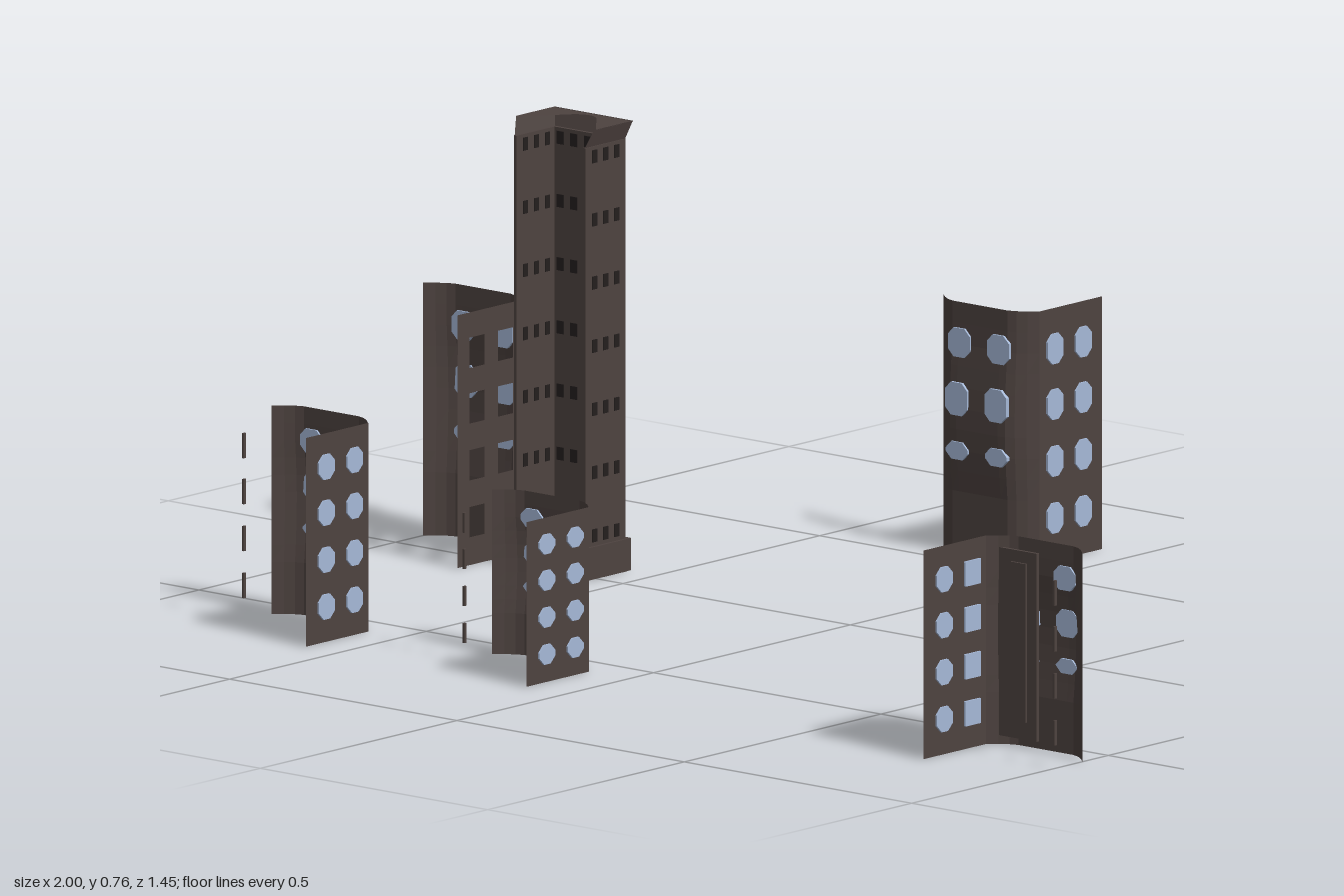
import * as THREE from 'three';

const mat = (name, color) => {
  const m = new THREE.MeshStandardMaterial({ color, side: THREE.DoubleSide, flatShading: true });
  m.name = name;
  return m;
};

export function createModel() {
  const wallMat = mat('dark brown wall', 0x4e4340);
  const paneMat = mat('pale blue glass', 0xa6b9d8);
  const darkMat = mat('black brown opening', 0x241f1e);
  const model = new THREE.Group();

  const add = (parent, name, geo, material, x = 0, y = 0, z = 0) => {
    const mesh = new THREE.Mesh(geo, material);
    mesh.name = name;
    mesh.position.set(x, y, z);
    parent.add(mesh);
    return mesh;
  };
  const box = (parent, name, material, w, h, d, x, y, z) =>
    add(parent, name, new THREE.BoxGeometry(w, h, d), material, x, y, z);

  // Window outline: a rectangle with cut corners
  const outline = (w, h, cut) => {
    const a = w / 2, b = h / 2, c = Math.min(cut, a, b);
    return [[-a + c, -b], [a - c, -b], [a, -b + c], [a, b - c], [a - c, b], [-a + c, b], [-a, b - c], [-a, -b + c]]
      .map(([x, y]) => new THREE.Vector2(x, y));
  };
  const pane = (parent, w, h, cut, x, y, z) => {
    const geo = new THREE.ExtrudeGeometry(new THREE.Shape(outline(w, h, cut)), { depth: 0.007, bevelEnabled: false });
    add(parent, 'windowPane', geo.translate(0, 0, -0.0035), paneMat, x, y, z);
  };

  // Curved wall with bevelled ends, swelling slightly at mid height
  const half = 0.106, depth = 0.188;
  const swell = (t) => 0.008 * Math.max(0, Math.sin((t - 0.25) / 0.6 * Math.PI));
  const setback = (x) => 0.03 * Math.max(0, (Math.abs(x) - 0.06) / (half - 0.06)) ** 1.6;
  const rows = [0.84, 0.62, 0.395, 0.17];

  function fragment({ name, x, z, h, dir = 1, side = 1, open = false, square = false, frames = false }) {
    const g = new THREE.Group();
    g.name = name;
    g.position.set(x, 0, z);
    model.add(g);

    const geo = new THREE.PlaneGeometry(2 * half, h, 14, 12).translate(0, h / 2, 0);
    const p = geo.attributes.position;
    for (let i = 0; i < p.count; i++) {
      const px = p.getX(i), fade = Math.max(0, 1 - Math.abs(px) / half);
      p.setZ(i, dir * (setback(px) - swell(p.getY(i) / h) * Math.min(1, fade * 2)));
    }
    geo.computeVertexNormals();
    add(g, 'curvedWall', geo, wallMat);

    // Three rows of windows on the curved wall
    [[0.84, 0.115], [0.62, 0.13], [0.415, 0.07]].forEach(([t, s]) => {
      for (const wx of [-0.043, 0.043]) pane(g, 0.048, s * h, 0.012, wx, t * h, -dir * swell(t));
    });

    // Straight side wall
    const wing = new THREE.Group();
    wing.name = 'sideWall';
    wing.position.x = side * half;
    wing.rotation.y = -dir * Math.PI / 2;
    g.add(wing);
    const shape = new THREE.Shape([[0.029, 0], [depth, 0], [depth, h], [0.029, h]].map((q) => new THREE.Vector2(...q)));
    for (const t of rows) {
      [0.066, 0.138].forEach((d, col) => {
        const size = 0.12 * h;
        if (open) shape.holes.push(new THREE.Path(outline(0.038, size, 0.0005).map((v) => v.add(new THREE.Vector2(d, t * h)))));
        else pane(wing, 0.04, size, square && col === 0 ? 0.001 : 0.012, d, t * h, 0);
      });
    }
    add(wing, 'sideWallSheet', new THREE.ShapeGeometry(shape), wallMat);

    // Window reveals left standing along the missing side
    if (frames) for (const t of rows)
      box(g, 'windowReveal', wallMat, 0.004, 0.12 * h, 0.006, -side * half, t * h, dir * 0.1);
    return g;
  }

  fragment({ name: 'leftmostRuin', x: -0.894, z: -0.1, h: 0.43, open: true });
  fragment({ name: 'backRuin', x: -0.182, z: -0.54, h: 0.43, dir: -1 });
  fragment({ name: 'frontOuterRuin', x: -0.678, z: 0.535, h: 0.355, frames: true });
  fragment({ name: 'frontMiddleRuin', x: -0.193, z: 0.535, h: 0.28, frames: true });
  const last = fragment({ name: 'frontFarRuin', x: 0.893, z: 0.535, h: 0.355, side: -1, square: true, frames: true });

  // Blind panel covering one column of windows from inside
  box(last, 'blindPanel', wallMat, 0.085, 0.32, 0.006, -0.05, 0.175, 0.012);
  box(last, 'panelStrip', wallMat, 0.034, 0.27, 0.006, -0.045, 0.18, 0.016);

  // Tower shell, open at the front
  const tower = new THREE.Group();
  tower.name = 'tower';
  tower.position.set(-0.642, 0, 0);
  model.add(tower);
  const T = 0.735, back = -0.078, front = 0.022, mid = (back + front) / 2;
  box(tower, 'towerBackWall', wallMat, 0.156, T, 0.006, 0, T / 2, back);
  for (const s of [-1, 1]) {
    box(tower, 'towerSideWall', wallMat, 0.006, T, 0.1, s * 0.076, T / 2, mid);
    box(tower, 'towerSidePlinth', wallMat, 0.01, 0.055, 0.1, s * 0.079, 0.0275, mid);
  }
  box(tower, 'towerBackPlinth', wallMat, 0.166, 0.055, 0.014, 0, 0.0275, back - 0.004);

  // Rows of small dark openings
  for (let r = 0; r < 7; r++) {
    const y = 0.073 + r * 0.1075;
    for (let i = 0; i < 5; i++)
      box(tower, 'backOpening', darkMat, 0.015, 0.022, 0.009, -0.06 + i * 0.03, y, back);
    for (const s of [-1, 1]) for (let i = 0; i < 3; i++)
      box(tower, 'sideOpening', darkMat, 0.009, 0.022, 0.012, s * 0.076, y, 0.0 - i * 0.028);
  }

  // Flared cornice around three sides
  const rim = (w, b, f, y) => [[-w, y, f], [-w, y, b], [w, y, b], [w, y, f]];
  const low = rim(0.077, back - 0.003, front, T), high = rim(0.086, -0.09, 0.008, 0.765);
  const verts = [];
  for (let i = 0; i < 3; i++)
    verts.push(...low[i], ...high[i], ...low[i + 1], ...high[i], ...high[i + 1], ...low[i + 1]);
  const cornice = new THREE.BufferGeometry();
  cornice.setAttribute('position', new THREE.Float32BufferAttribute(verts, 3));
  cornice.computeVertexNormals();
  add(tower, 'cornice', cornice, wallMat);

  // Broken roof with a rounded notch toward the open front
  const roof = new THREE.Shape();
  roof.moveTo(-0.086, 0.09);
  roof.lineTo(-0.086, -0.01);
  roof.lineTo(-0.025, 0.068);
  roof.quadraticCurveTo(0, 0.09, 0.025, 0.068);
  roof.lineTo(0.086, -0.004);
  roof.lineTo(0.086, 0.09);
  add(tower, 'brokenRoof', new THREE.ShapeGeometry(roof, 6).rotateX(-Math.PI / 2), wallMat, 0, 0.764, 0);

  return model;
}
